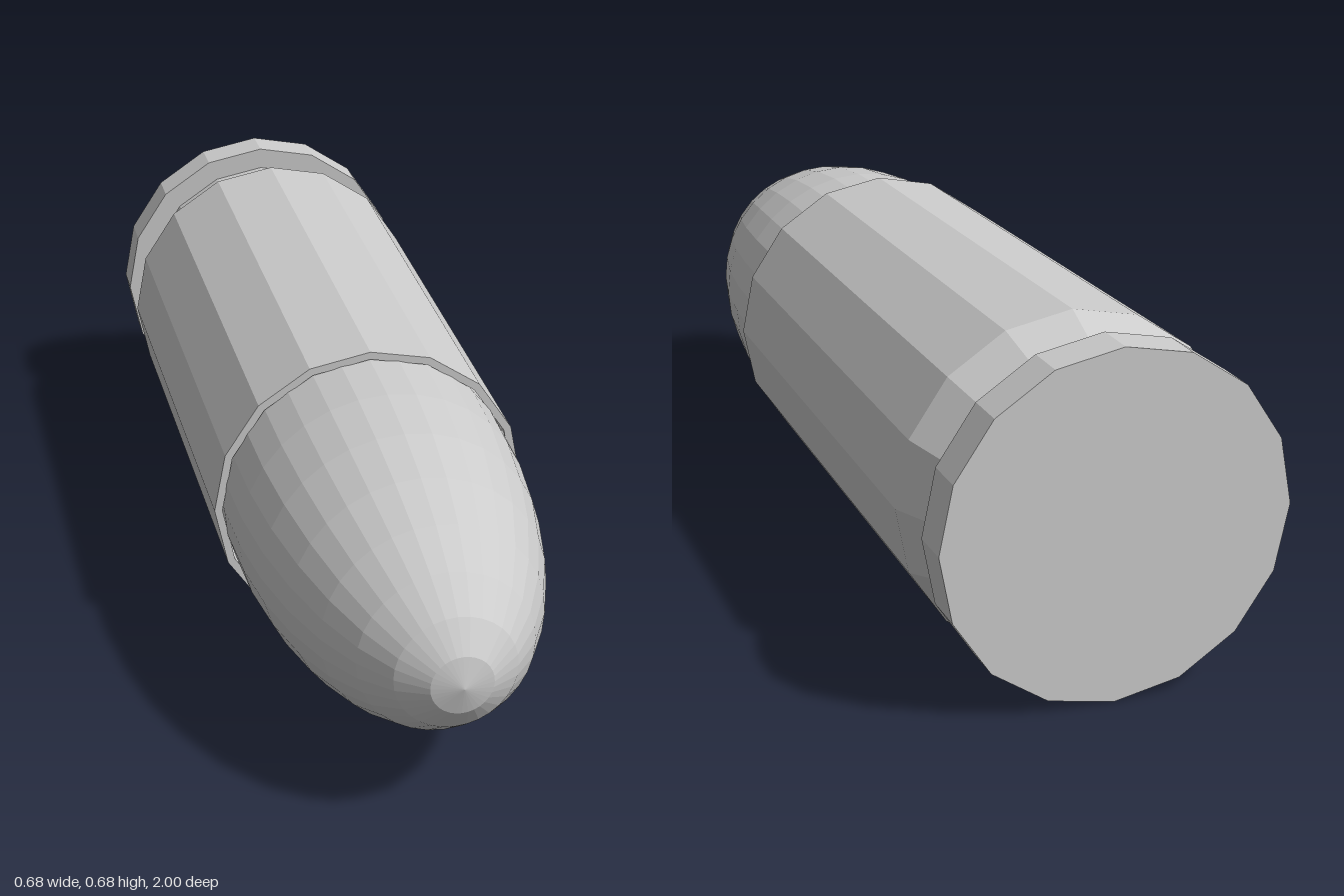
import * as THREE from 'three';

const AXIS_HEIGHT = 0.338;

export function createModel() {
  const material = new THREE.MeshStandardMaterial({ color: 0xcccccc, flatShading: true });
  const group = new THREE.Group();
  group.name = 'cartridge';

  // Adds a part turned about y, laid down so that its axis points along +z
  const addPart = (name, geometry) => {
    geometry.rotateX(Math.PI / 2);
    const mesh = new THREE.Mesh(geometry, material);
    mesh.name = name;
    mesh.position.y = AXIS_HEIGHT;
    group.add(mesh);
  };

  // Sixteen-sided case: [radius, z] from the base disc to the inside of the mouth
  const profile = [
    [0, -1], [0.338, -1], [0.338, -0.915],         // base and rim flange
    [0.29, -0.915], [0.29, -0.885], [0.338, -0.78], // extractor groove
    [0.322, 0.27], [0.306, 0.27], [0.306, 0.15],    // tapered wall and mouth lip
  ].map(([r, z]) => new THREE.Vector2(r, z));
  addPart('case', new THREE.LatheGeometry(profile, 16));

  // Rounded nose: a stretched sphere seated in the mouth of the case
  const nose = new THREE.SphereGeometry(1, 32, 16);
  nose.scale(0.302, 0.73, 0.302);
  nose.translate(0, 0.27, 0);
  addPart('bullet', nose);

  return group;
}
